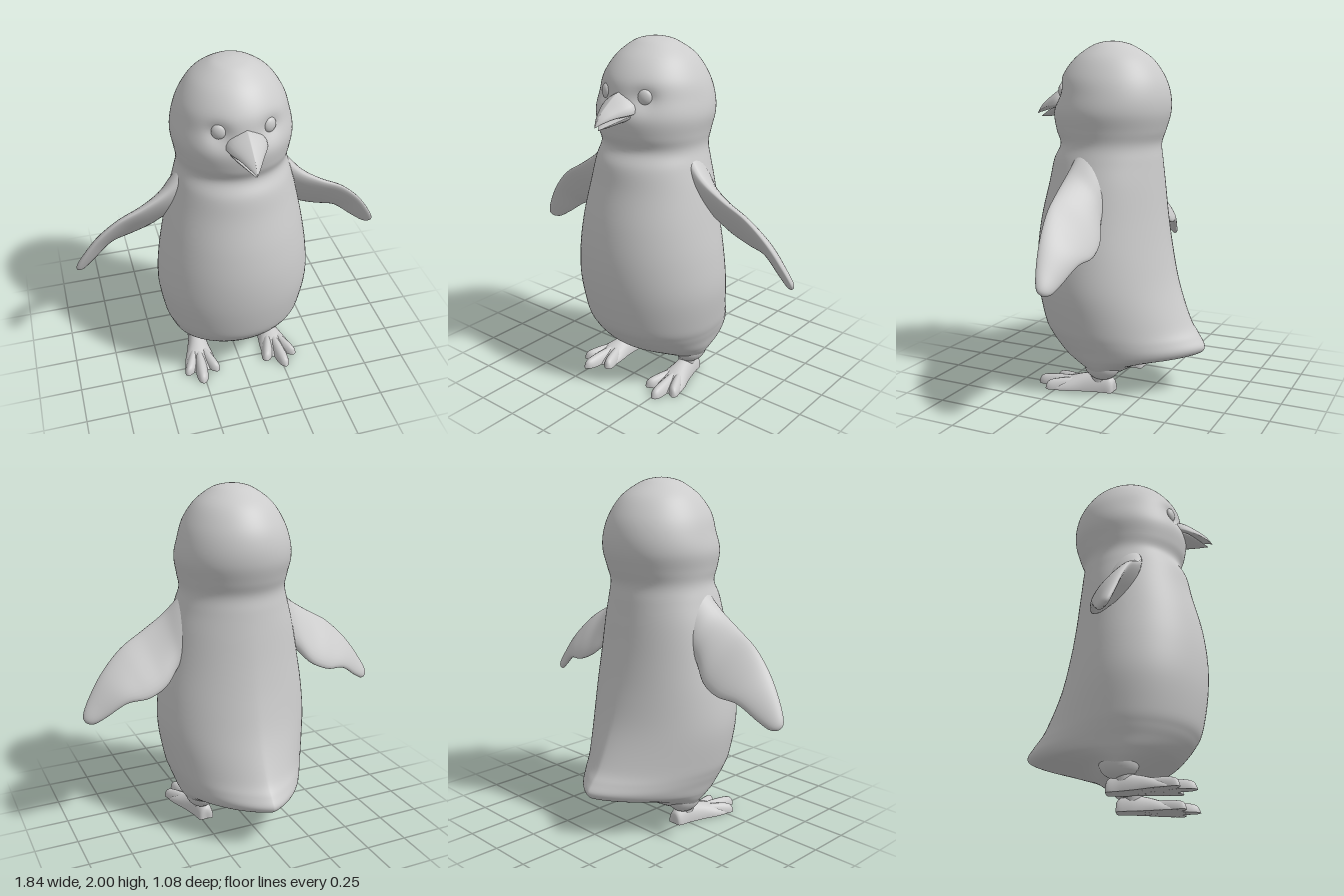
import * as THREE from 'three';
import { mergeVertices } from 'three/addons/utils/BufferGeometryUtils.js';

const material = new THREE.MeshStandardMaterial({ color: 0xcccccc, roughness: 0.8 });

// Catmull-Rom resampling of rows of numbers
function smoothRows(rows, steps) {
  const out = [], last = rows.length - 1;
  const at = (i) => rows[Math.min(last, Math.max(0, i))];
  for (let i = 0; i < last; i++) {
    for (let s = 0; s < steps; s++) {
      const t = s / steps;
      out.push(rows[0].map((_, k) => {
        const [a, b, c, d] = [at(i - 1)[k], at(i)[k], at(i + 1)[k], at(i + 2)[k]];
        return b + 0.5 * t * (c - a + t * (2 * a - 5 * b + 4 * c - d + t * (3 * (b - c) + d - a)));
      }));
    }
  }
  out.push(rows[last]);
  return out;
}

// Skin over rings; ringPoint(row, angle, index, rows) gives [x, y, z]
function loft(rows, steps, sides, ringPoint) {
  const dense = smoothRows(rows, steps), pos = [], index = [];
  dense.forEach((row, i) => {
    for (let j = 0; j < sides; j++) {
      pos.push(...ringPoint(row, (j / sides) * Math.PI * 2, i, dense));
    }
  });
  for (let i = 0; i < dense.length - 1; i++) {
    for (let j = 0; j < sides; j++) {
      const a = i * sides + j, b = i * sides + ((j + 1) % sides);
      index.push(a, b, a + sides, b, b + sides, a + sides);
    }
  }
  let geometry = new THREE.BufferGeometry();
  geometry.setAttribute('position', new THREE.Float32BufferAttribute(pos, 3));
  geometry.setIndex(index);
  geometry = mergeVertices(geometry, 1e-5);
  geometry.computeVertexNormals();
  return geometry;
}

function part(name, geometry) {
  const mesh = new THREE.Mesh(geometry, material);
  mesh.name = name;
  return mesh;
}

// Head, trunk and tail: [y, half width, front z, back z, z of widest point, tail pinch]
function bodyGeometry() {
  const rows = [
    [0.08, 0, 0, -0.02, -0.01, 0],
    [0.085, 0.2, 0.03, -0.07, -0.01, 0],
    [0.11, 0.29, 0.1, -0.12, -0.01, 0],
    [0.16, 0.335, 0.2, -0.22, 0, 0.15],
    [0.2, 0.357, 0.275, -0.4, 0.01, 0.4],
    [0.225, 0.367, 0.31, -0.51, 0.02, 0.5],
    [0.265, 0.38, 0.35, -0.545, 0.03, 0.5],
    [0.32, 0.4, 0.393, -0.512, 0.04, 0.46],
    [0.4, 0.422, 0.433, -0.455, 0.05, 0.4],
    [0.6, 0.45, 0.47, -0.37, 0.06, 0.28],
    [0.8, 0.438, 0.477, -0.32, 0.06, 0.18],
    [1.0, 0.405, 0.453, -0.287, 0.06, 0.1],
    [1.2, 0.364, 0.405, -0.265, 0.05, 0.05],
    [1.33, 0.33, 0.378, -0.252, 0.05, 0.02],
    [1.42, 0.308, 0.337, -0.245, 0.04, 0],
    [1.5, 0.318, 0.363, -0.272, 0.04, 0],
    [1.6, 0.333, 0.377, -0.3, 0.03, 0],
    [1.7, 0.316, 0.354, -0.299, 0.02, 0],
    [1.8, 0.282, 0.33, -0.267, 0.03, 0],
    [1.9, 0.216, 0.257, -0.195, 0.03, 0],
    [1.97, 0.125, 0.16, -0.09, 0.04, 0],
    [1.993, 0.06, 0.096, -0.022, 0.037, 0],
    [2.0, 0, 0.037, 0.037, 0.037, 0],
  ];
  return loft(rows, 6, 80, ([y, w, front, back, mid, pinch], angle) => {
    const s = Math.sin(angle), c = Math.cos(angle);
    const x = c >= 0 ? w * s : w * Math.sign(s) * Math.abs(s) ** (1 + Math.max(0, pinch));
    let z = mid + (c >= 0 ? c * (front - mid) : -c * (back - mid));
    // Shallow eye sockets
    if (z > 0.1) {
      const d2 = (Math.abs(x) - 0.14) ** 2 + (y - 1.71) ** 2;
      z -= 0.03 * Math.exp(-d2 / 0.0035);
    }
    return [x, y, z];
  });
}

// Flipper blade: [leading edge xyz, trailing edge xyz, half thickness]
function flipperGeometry() {
  const rows = [
    [0.19, 1.47, 0.07, 0.22, 1.1, -0.04, 0.1],
    [0.29, 1.375, 0.115, 0.3, 1.06, -0.05, 0.085],
    [0.39, 1.275, 0.13, 0.37, 1.015, -0.06, 0.065],
    [0.52, 1.19, 0.125, 0.46, 0.92, -0.1, 0.05],
    [0.66, 1.108, 0.105, 0.57, 0.868, -0.112, 0.042],
    [0.78, 0.99, 0.08, 0.69, 0.85, -0.09, 0.036],
    [0.87, 0.86, 0.052, 0.8, 0.775, -0.055, 0.03],
    [0.915, 0.768, 0.025, 0.865, 0.735, -0.03, 0.022],
    [0.898, 0.733, 0, 0.898, 0.733, 0, 0],
  ];
  const centre = (r) => new THREE.Vector3(r[0] + r[3], r[1] + r[4], r[2] + r[5]).multiplyScalar(0.5);
  return loft(rows, 6, 28, (r, angle, i, all) => {
    const chord = new THREE.Vector3(r[0] - r[3], r[1] - r[4], r[2] - r[5]).multiplyScalar(0.5);
    const along = centre(all[Math.min(i + 1, all.length - 1)]).sub(centre(all[Math.max(i - 1, 0)]));
    const normal = along.cross(chord).normalize().multiplyScalar(r[6]);
    // The underside is flatter than the back
    const s = Math.sin(angle), rise = s > 0 ? s * 0.7 : s;
    return centre(r).addScaledVector(chord, Math.cos(angle))
      .addScaledVector(normal, rise).toArray();
  });
}

// Beak half: [z, half width, top y, bottom y, y of widest line], with a ridge
function beakGeometry(rows) {
  return loft(rows, 5, 32, ([z, w, top, bottom, mid], angle) => {
    const c = Math.cos(angle), s = Math.sin(angle);
    const y = mid + (s > 0 ? s * (top - mid) : -s * (bottom - mid));
    return [w * c * Math.abs(c) ** 0.9, y, z];
  });
}

// Foot piece with a flat sole: [x, z, half width, height]
function solePiece(rows) {
  return loft(rows, 5, 24, ([x, z, w, h], angle) =>
    [x + w * Math.cos(angle), Math.max(0, Math.sin(angle)) * h, z]);
}

function createFoot() {
  const foot = new THREE.Group();
  foot.add(part('footPad', solePiece([
    [0.22, -0.07, 0, 0], [0.22, -0.069, 0.042, 0.07], [0.222, 0, 0.055, 0.1],
    [0.235, 0.1, 0.07, 0.09], [0.247, 0.2, 0.094, 0.06],
    [0.252, 0.27, 0.09, 0.03], [0.255, 0.315, 0, 0],
  ])));
  // Three toes fanning from the instep
  for (const [x, z] of [[0.162, 0.325], [0.265, 0.4], [0.34, 0.315]]) {
    const at = (t, w, h) => [0.238 + (x - 0.238) * t, 0.08 + (z - 0.08) * t, w, h];
    foot.add(part('toe', solePiece([
      at(0, 0.03, 0.06), at(0.4, 0.036, 0.065), at(0.75, 0.037, 0.057),
      at(0.93, 0.026, 0.042), at(1, 0, 0),
    ])));
  }
  const ankle = part('ankle', new THREE.CylinderGeometry(0.065, 0.045, 0.12, 24));
  ankle.position.set(0.225, 0.11, 0.02);
  foot.add(ankle);
  return foot;
}

export function createModel() {
  const model = new THREE.Group();
  model.name = 'penguin';
  model.add(part('body', bodyGeometry()));

  model.add(part('upperBeak', beakGeometry([
    [0.28, 0.11, 1.745, 1.62, 1.645], [0.36, 0.107, 1.735, 1.61, 1.638],
    [0.44, 0.064, 1.685, 1.607, 1.625], [0.5, 0.028, 1.635, 1.592, 1.604],
    [0.537, 0, 1.58, 1.58, 1.58],
  ])));
  model.add(part('lowerBeak', beakGeometry([
    [0.28, 0.105, 1.635, 1.575, 1.628], [0.38, 0.088, 1.625, 1.572, 1.618],
    [0.45, 0.045, 1.598, 1.565, 1.59], [0.512, 0, 1.562, 1.562, 1.562],
  ])));

  // Paired parts, mirrored across x
  for (const side of [1, -1]) {
    const name = side > 0 ? 'left' : 'right';
    const pair = new THREE.Group();
    pair.name = name + 'Side';
    pair.add(part(name + 'Flipper', flipperGeometry()));
    const eye = part(name + 'Eye', new THREE.SphereGeometry(0.042, 28, 20));
    eye.position.set(0.135, 1.72, 0.292);
    eye.rotation.y = 0.4;
    eye.scale.set(0.92, 1, 0.55);
    pair.add(eye);
    const thigh = part(name + 'Thigh', new THREE.SphereGeometry(0.1, 28, 20));
    thigh.position.set(0.235, 0.165, -0.005);
    thigh.scale.set(0.9, 0.95, 1.1);
    pair.add(thigh);
    const foot = createFoot();
    foot.name = name + 'Foot';
    pair.add(foot);
    pair.scale.x = side;
    model.add(pair);
  }
  return model;
}
